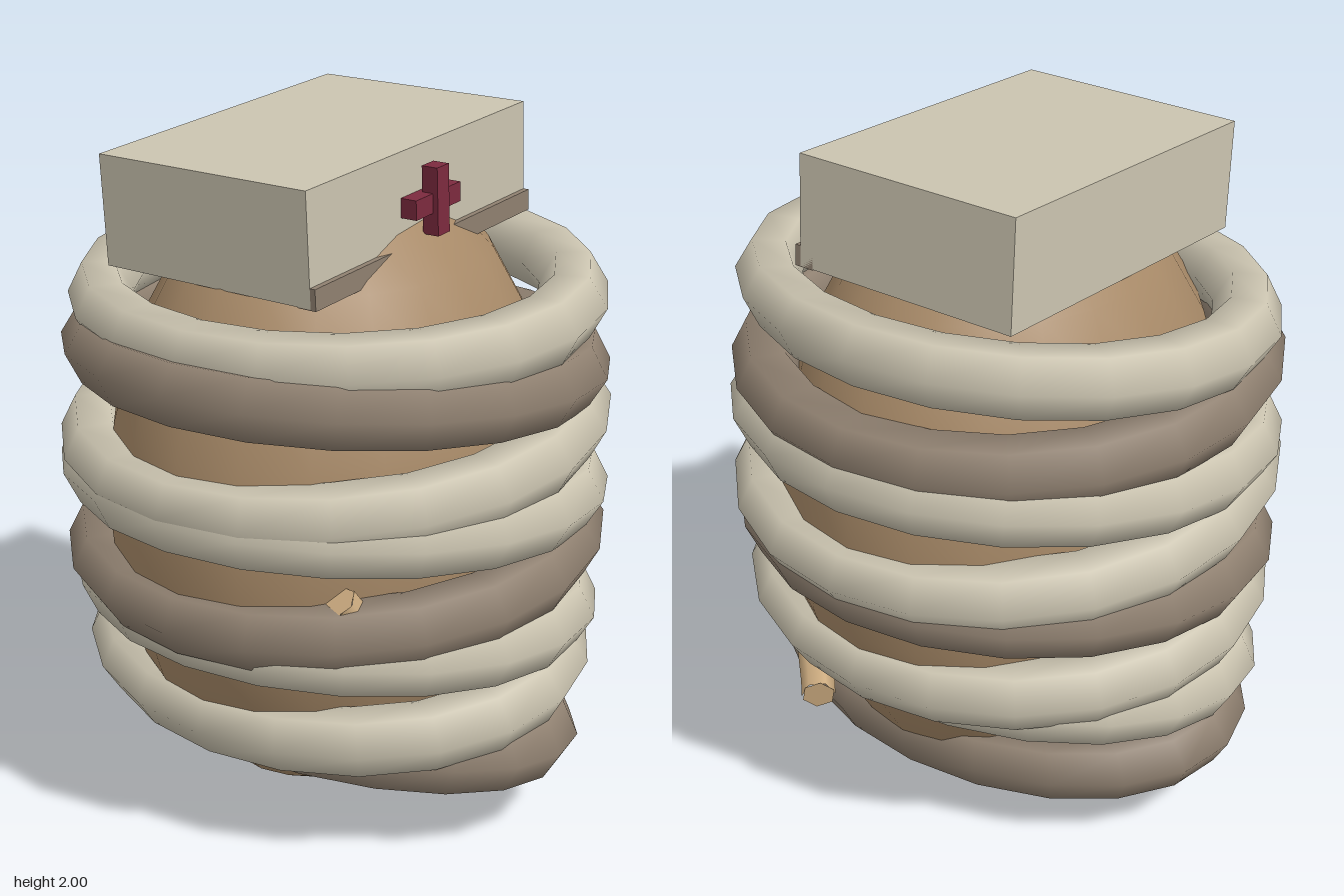
import * as THREE from 'three';

const paint = (name, color) => {
  const m = new THREE.MeshStandardMaterial({ color });
  m.name = name;
  return m;
};

export function createModel() {
  const model = new THREE.Group();
  const bone = paint('bone', 0xcbc4b0);
  const taupe = paint('taupe', 0x8f8070);
  const brown = paint('brown', 0xa88a68);
  const crimson = paint('crimson', 0x7c2a3e);
  const tan = paint('tan', 0xcfae82);

  const add = (parent, name, geometry, material, x = 0, y = 0, z = 0) => {
    const mesh = new THREE.Mesh(geometry, material);
    mesh.name = name;
    mesh.position.set(x, y, z);
    parent.add(mesh);
    return mesh;
  };

  // Egg-shaped body, slightly slimmer in depth toward both ends
  const egg = new THREE.SphereGeometry(1, 20, 12);
  const p = egg.attributes.position;
  for (let i = 0; i < p.count; i++) {
    p.setZ(i, p.getZ(i) * (1 - 0.1 * p.getY(i) ** 4));
  }
  egg.scale(0.72, 0.95, 0.61);
  add(model, 'body', egg, brown, 0, 0.95, 0);

  // Wrapping coils: half width, height, slope, material
  const coils = [
    [0.52, 0.28, -0.095, taupe],
    [0.65, 0.455, 0.135, bone],
    [0.73, 0.63, -0.075, bone],
    [0.775, 0.8, 0.096, taupe],
    [0.8, 0.985, -0.083, bone],
    [0.795, 1.15, 0.11, bone],
    [0.765, 1.345, -0.065, taupe],
    [0.705, 1.52, 0.078, bone],
  ];
  coils.forEach(([halfWidth, y, slope, material], i) => {
    const ring = new THREE.TorusGeometry(0.7, 0.1, 6, 20);
    ring.rotateX(Math.PI / 2).scale(halfWidth / 0.8, 1, 1);
    add(model, `coil${i + 1}`, ring, material, 0, y, 0).rotation.z = Math.atan(slope);
  });

  // Curved rod tucked under the coils, with capped ends
  const path = new THREE.CatmullRomCurve3([
    [-0.54, 0.85, 0.42], [-0.36, 0.61, 0.49], [0, 0.48, 0.53],
    [0.27, 0.4, 0.53], [0.58, 0.33, 0.26],
  ].map((v) => new THREE.Vector3(...v)));
  add(model, 'rod', new THREE.TubeGeometry(path, 20, 0.05, 6), tan);
  [0, 1].forEach((t) => {
    const end = path.getPointAt(t);
    const outward = path.getTangentAt(t).multiplyScalar(t ? 1 : -1);
    const cap = add(model, 'rodEnd', new THREE.CircleGeometry(0.05, 6), tan, end.x, end.y, end.z);
    cap.quaternion.setFromUnitVectors(new THREE.Vector3(0, 0, 1), outward);
  });

  // Tilted cap block with a front band and raised cross
  const cap = new THREE.Group();
  cap.name = 'cap';
  cap.position.set(-0.003, 1.814, 0);
  cap.rotation.z = 0.062;
  model.add(cap);
  add(cap, 'capBlock', new THREE.BoxGeometry(1.02, 0.315, 0.7), bone, 0, 0, -0.05);
  add(cap, 'capBand', new THREE.BoxGeometry(1.02, 0.06, 0.06), taupe, 0, -0.13, 0.287);
  add(cap, 'crossBarUpright', new THREE.BoxGeometry(0.055, 0.19, 0.05), crimson, 0, 0.01, 0.343);
  add(cap, 'crossBarLevel', new THREE.BoxGeometry(0.21, 0.055, 0.05), crimson, 0, 0.005, 0.327);

  return model;
}
